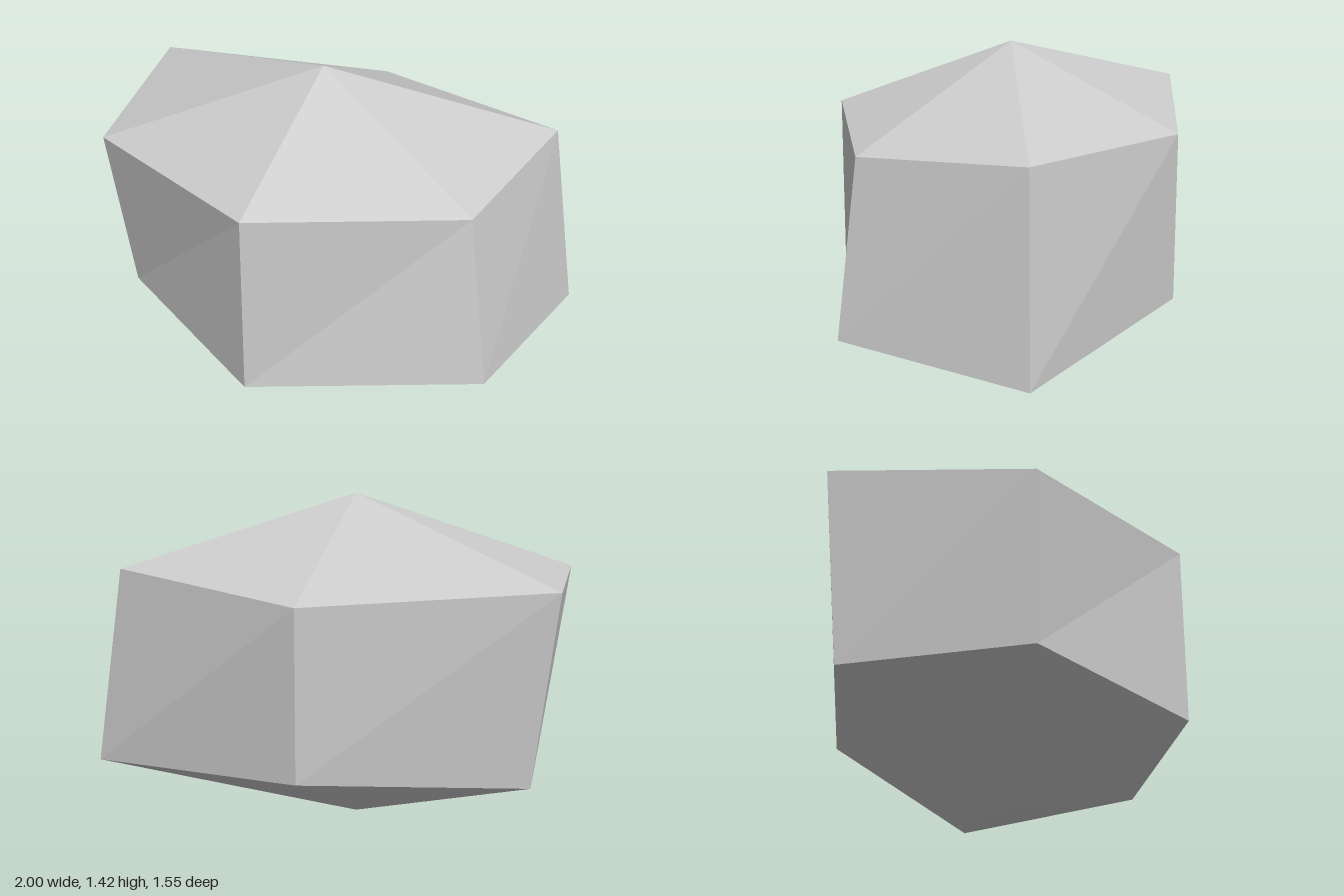
import * as THREE from 'three';

// Rings run front, left front, left back, back, right back, right front.
const UPPER = [
  [-0.02, 1.105, 0.775], [0.77, 1.058, 0.32], [0.89, 1.11, -0.447],
  [-0.02, 1.072, -0.775], [-1.0, 1.14, -0.48], [-0.875, 1.09, 0.35],
];
const LOWER = [
  [-0.02, 0.32, 0.775], [0.875, 0.323, 0.367], [0.997, 0.27, -0.493],
  [-0.02, 0.355, -0.775], [-0.893, 0.333, -0.45], [-0.772, 0.385, 0.32],
];
const APEX = [-0.02, 1.42, -0.035];
const BASE = [-0.02, 0, -0.035];

export function createModel() {
  const group = new THREE.Group();
  group.name = 'facetedStone';
  const stone = new THREE.MeshStandardMaterial({ color: 0xcccccc });
  stone.name = 'light grey stone';

  // Unshared corners keep every facet flat.
  const addPart = (name, corners) => {
    const geometry = new THREE.BufferGeometry();
    geometry.setAttribute('position', new THREE.Float32BufferAttribute(corners.flat(), 3));
    geometry.computeVertexNormals();
    const mesh = new THREE.Mesh(geometry, stone);
    mesh.name = name;
    group.add(mesh);
  };

  const crown = [], sides = [], underside = [];
  for (let i = 0; i < 6; i++) {
    const j = (i + 1) % 6;
    crown.push(UPPER[i], UPPER[j], APEX);
    sides.push(LOWER[i], LOWER[j], UPPER[j], LOWER[i], UPPER[j], UPPER[i]);
    underside.push(LOWER[j], LOWER[i], BASE);
  }
  addPart('crown', crown);
  addPart('sides', sides);
  addPart('underside', underside);
  return group;
}
